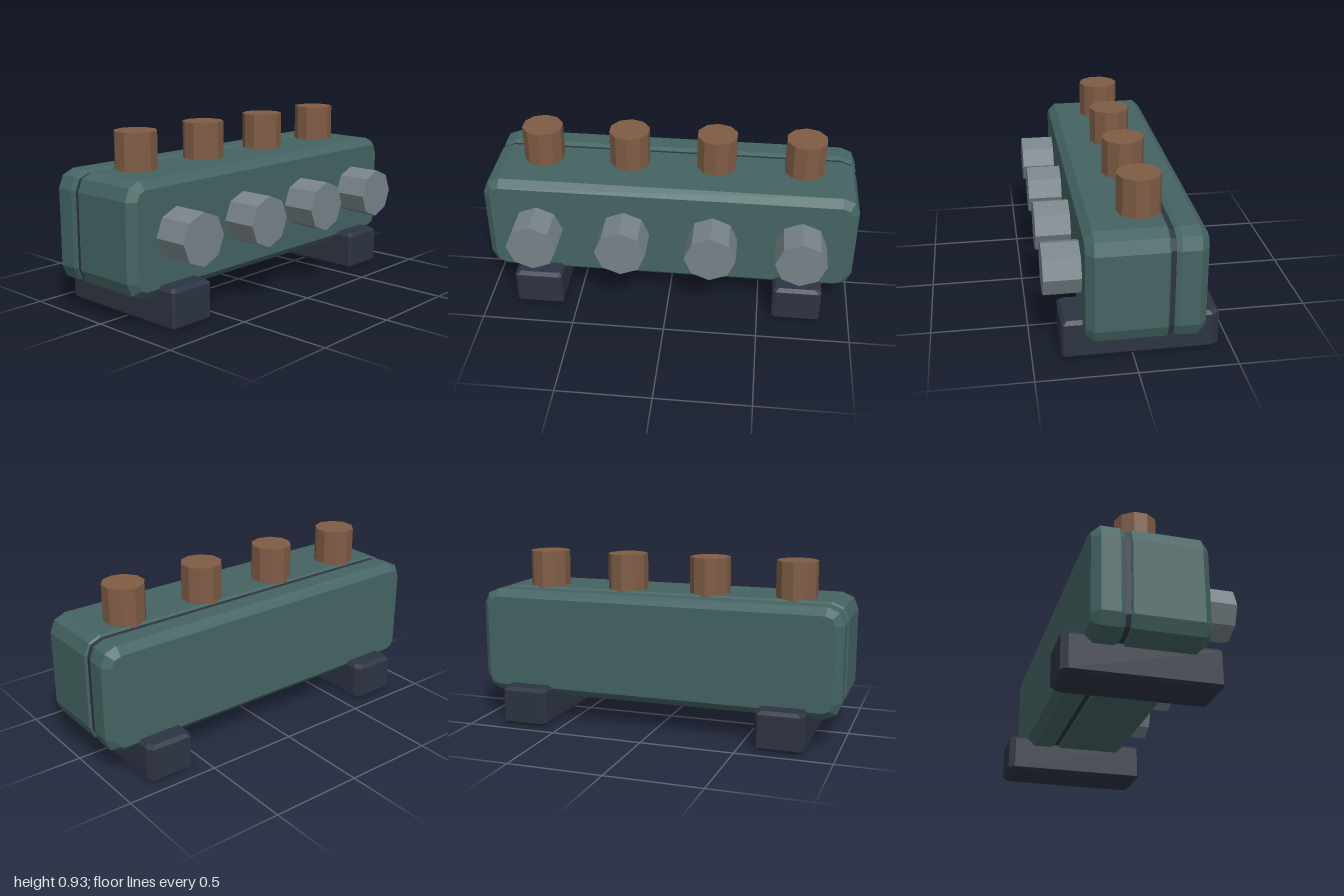
import * as THREE from 'three';

const material = (name, color) => {
  const m = new THREE.MeshStandardMaterial({ color });
  m.name = name;
  return m;
};

// Joins convex outlines (counter-clockwise, xy) stacked along z, with flat facets and end caps.
// Each section is [z, inset]; outline(inset) gives the points.
function loft(outline, sections) {
  const rings = sections.map(([z, inset]) => outline(inset).map(([x, y]) => [x, y, z]));
  const n = rings[0].length;
  const pos = [];
  const tri = (a, b, c) => pos.push(...a, ...b, ...c);
  for (let s = 0; s < rings.length - 1; s++) {
    const lo = rings[s], hi = rings[s + 1];
    for (let i = 0; i < n; i++) {
      const j = (i + 1) % n;
      tri(lo[i], lo[j], hi[j]);
      tri(lo[i], hi[j], hi[i]);
    }
  }
  const first = rings[0], last = rings[rings.length - 1];
  for (let i = 1; i < n - 1; i++) {
    tri(first[0], first[i + 1], first[i]);
    tri(last[0], last[i], last[i + 1]);
  }
  const g = new THREE.BufferGeometry();
  g.setAttribute('position', new THREE.Float32BufferAttribute(pos, 3));
  g.computeVertexNormals();
  return g;
}

// Rounded rectangle of the casing, two facets per corner
function casingOutline(inset) {
  const r = 0.09 - inset, cx = 0.91, cy = 0.198;
  const pts = [];
  [[1, 1], [-1, 1], [-1, -1], [1, -1]].forEach(([sx, sy], q) => {
    for (let k = 0; k < 3; k++) {
      const a = (q + k / 2) * Math.PI / 2;
      pts.push([sx * cx + r * Math.cos(a), sy * cy + r * Math.sin(a)]);
    }
  });
  return pts;
}

// Plan of a foot with clipped corners, larger at the back
function footOutline(inset) {
  const w = 0.13 - inset, f = -0.355 + inset, b = 0.435 - inset;
  return [
    [w - 0.015, f], [w, f + 0.012], [w, b - 0.035], [w - 0.02, b],
    [-w + 0.02, b], [-w, b - 0.035], [-w, f + 0.012], [-w + 0.015, f],
  ];
}

// Faceted cylinder with flat sides
function facetedCylinder(radius, height, sides) {
  const g = new THREE.CylinderGeometry(radius, radius, height, sides).toNonIndexed();
  g.computeVertexNormals();
  return g;
}

export function createModel() {
  const model = new THREE.Group();
  model.name = 'manifoldBlock';
  const green = material('casing green', 0x446463);
  const navy = material('dark navy', 0x2d3442);
  const brown = material('copper brown', 0x7f5c45);
  const grey = material('steel grey', 0x788388);

  const add = (name, geometry, mat, x, y, z) => {
    const mesh = new THREE.Mesh(geometry, mat);
    mesh.name = name;
    mesh.position.set(x, y, z);
    model.add(mesh);
    return mesh;
  };

  // Casing in two halves with a dark seal in the groove between them
  add('frontCasing', loft(casingOutline, [[-0.145, 0.01], [-0.137, 0], [0.21, 0], [0.25, 0.04]]), green, 0, 0.443, 0);
  add('seal', loft(casingOutline, [[-0.175, 0.012], [-0.14, 0.012]]), navy, 0, 0.443, 0);
  add('backCasing', loft(casingOutline, [[-0.33, 0.04], [-0.29, 0], [-0.195, 0], [-0.17, 0.011]]), green, 0, 0.443, 0);

  // Row of top pegs and front nozzles
  const peg = facetedCylinder(0.11, 0.215, 10);
  const nozzle = facetedCylinder(0.135, 0.205, 8).rotateX(Math.PI / 2);
  for (let i = 0; i < 4; i++) {
    const x = -0.71 + i * 0.4733;
    add('topPeg' + (i + 1), peg, brown, x, 0.8175, -0.04);
    add('frontNozzle' + (i + 1), nozzle, grey, x, 0.45, 0.3325);
  }

  // Feet
  const foot = loft(footOutline, [[0, 0.018], [0.018, 0], [0.192, 0], [0.21, 0.018]]).rotateX(-Math.PI / 2);
  add('leftFoot', foot, navy, 0.71, 0, 0);
  add('rightFoot', foot, navy, -0.71, 0, 0);

  return model;
}
